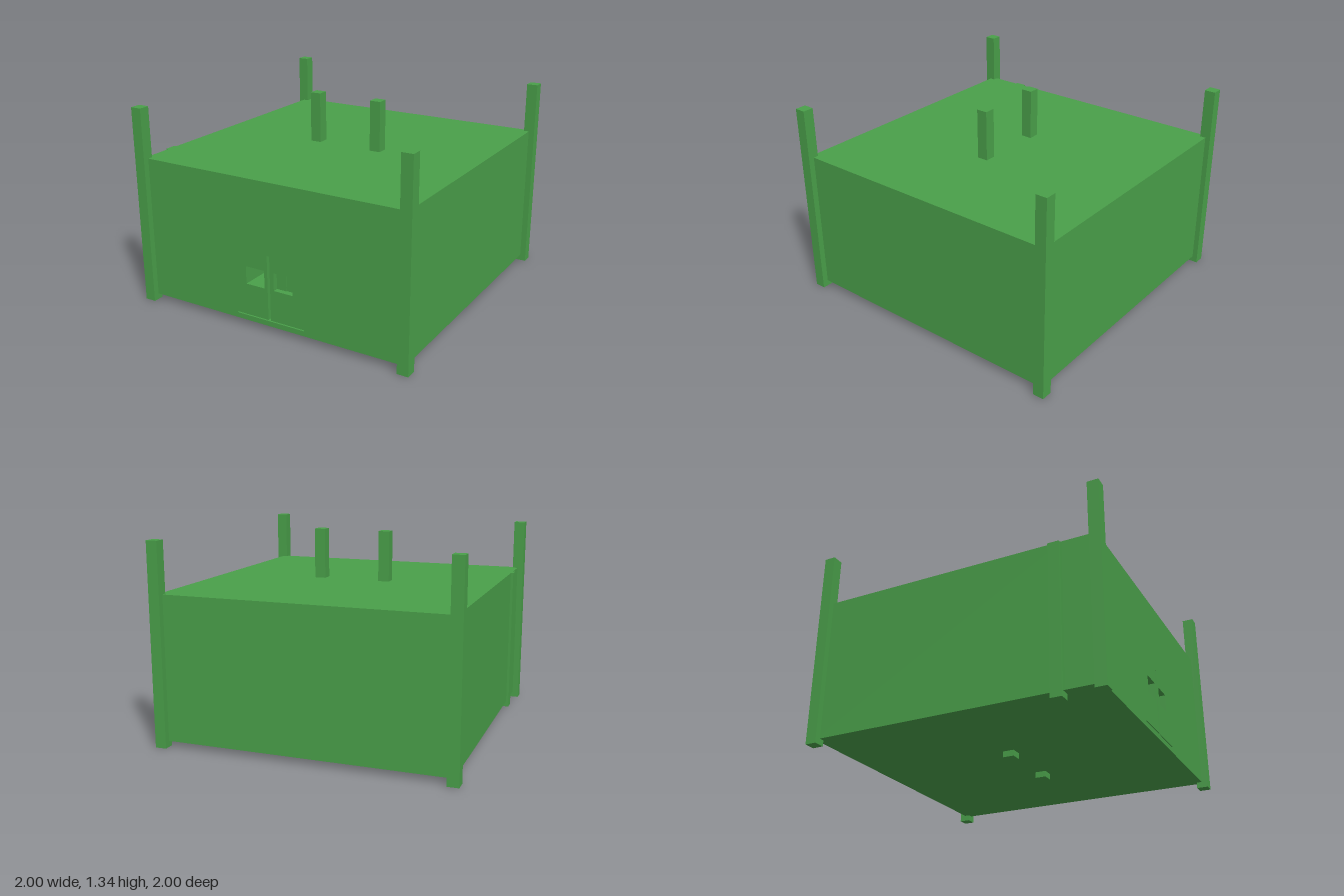
import * as THREE from 'three';

export function createModel() {
  const model = new THREE.Group();
  const green = new THREE.MeshStandardMaterial({ color: 0x4aa04a });
  green.name = 'green';

  // Box given by its minimum and maximum corners
  function box(name, x0, x1, y0, y1, z0, z1) {
    const mesh = new THREE.Mesh(new THREE.BoxGeometry(x1 - x0, y1 - y0, z1 - z0), green);
    mesh.position.set((x0 + x1) / 2, (y0 + y1) / 2, (z0 + z1) / 2);
    mesh.name = name;
    model.add(mesh);
  }

  const outline = (points, Type) => new Type(points.map(([x, y]) => new THREE.Vector2(x, y)));
  const rect = (x0, x1, y0, y1) => [[x0, y0], [x1, y0], [x1, y1], [x0, y1]];

  // Main block, with a thick front wall that carries the openings
  box('mainBlock', -0.96, 0.96, 0.04, 1, -0.96, 0.74);
  const wall = outline(rect(-0.96, 0.96, 0.04, 1), THREE.Shape);
  wall.holes.push(
    outline(rect(-0.17, -0.03, 0.295, 0.415), THREE.Path),
    outline(rect(0.04, 0.18, 0.295, 0.415), THREE.Path),
    // Door gap: upright slot joined to a thin sill slot
    outline([[-0.25, 0.075], [0.26, 0.075], [0.26, 0.082], [0.012, 0.082],
      [0.012, 0.52], [-0.007, 0.52], [-0.007, 0.082], [-0.25, 0.082]], THREE.Path),
  );
  const frontWall = new THREE.Mesh(
    new THREE.ExtrudeGeometry(wall, { depth: 0.22, bevelEnabled: false }), green);
  frontWall.position.z = 0.74;
  frontWall.name = 'frontWall';
  model.add(frontWall);

  // Backs of the two openings
  box('leftOpeningBack', 0.04, 0.11, 0.295, 0.415, 0.74, 0.925);
  box('leftOpeningStep', 0.11, 0.18, 0.295, 0.415, 0.74, 0.92);
  box('rightOpeningStep', -0.07, -0.03, 0.295, 0.415, 0.74, 0.75);

  // Square posts: centre x, centre z, bottom-to-top height
  const posts = [
    ['frontRightPost', -0.963, 0.963, 1.34],
    ['frontLeftPost', 0.962, 0.962, 1.34],
    ['backRightPost', -0.962, -0.958, 1.34],
    ['backLeftPost', 0.962, -0.963, 1.34],
    ['middleRightPost', -0.213, 0.028, 1.34],
    ['middleLeftPost', 0.252, 0.035, 1.34],
    ['shortSidePost', -0.94, 0.69, 1],
  ];
  const half = 0.0375;
  for (const [name, x, z, top] of posts) {
    box(name, x - half, x + half, 0, top, z - half, z + half);
  }
  return model;
}
